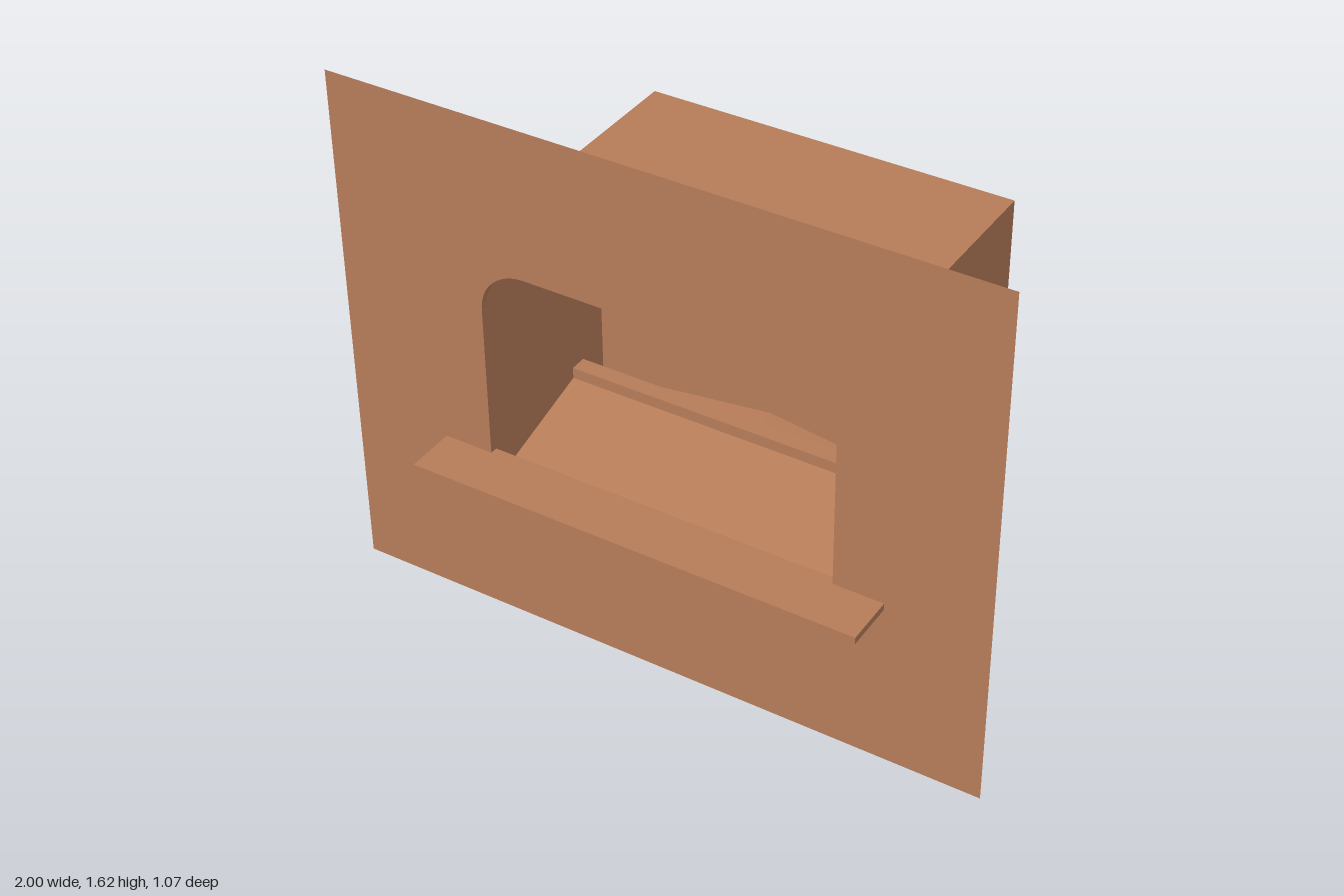
import * as THREE from 'three';

const W = 0.57;           // half width of the cabinet
const TOP = 1.23;         // cabinet roof
const FRONT = 0.357;      // cabinet front
const PANEL = 0.38;       // face panel
const BACK = -0.533;      // cabinet back
const HOLE = 0.46;        // x where the drop holes begin

// Each trough: front z, back z, lowest y, top of the ridge before it
const troughs = [
  { z0: -0.123, z1: -0.225, y: 0.41, ridge: 0.54 },
  { z0: -0.28, z1: -0.379, y: 0.565, ridge: 0.695 },
  { z0: -0.433, z1: BACK, y: 0.72, ridge: 0.85 },
];

const shapeOf = (pts) => new THREE.Shape(pts.map(([x, y]) => new THREE.Vector2(x, y)));

// Arched opening: square at the sill, rounded at the top
function opening(path) {
  const x = 0.54, y0 = 0.54, y1 = 1.16, r = 0.14;
  path.moveTo(-x, y0);
  path.lineTo(x, y0);
  path.lineTo(x, y1 - r);
  path.absarc(x - r, y1 - r, r, 0, Math.PI / 2, false);
  path.lineTo(-x + r, y1);
  path.absarc(-x + r, y1 - r, r, Math.PI / 2, Math.PI, false);
  path.lineTo(-x, y0);
  return path;
}

export function createModel() {
  const group = new THREE.Group();
  const clay = new THREE.MeshStandardMaterial({ color: 0xb67b58, side: THREE.DoubleSide });
  clay.name = 'clay brown';

  const add = (name, geometry, z = 0) => {
    const mesh = new THREE.Mesh(geometry, clay);
    mesh.name = name;
    mesh.position.z = z;
    group.add(mesh);
    return mesh;
  };

  // Flat four-cornered sheet
  const quad = (name, a, b, c, d) => {
    const g = new THREE.BufferGeometry();
    g.setAttribute('position', new THREE.Float32BufferAttribute([a, b, c, a, c, d].flat(), 3));
    g.computeVertexNormals();
    return add(name, g);
  };
  // Sheet across the full width between two (z, y) points
  const across = (name, [z0, y0], [z1, y1]) =>
    quad(name, [-W, y0, z0], [W, y0, z0], [W, y1, z1], [-W, y1, z1]);

  // Face panel and cabinet front, both pierced by the opening
  const pierced = (x, y0, y1) => {
    const s = shapeOf([[-x, y0], [x, y0], [x, y1], [-x, y1]]);
    s.holes.push(opening(new THREE.Path()));
    return new THREE.ShapeGeometry(s, 10);
  };
  add('facePanel', pierced(1, 0, 1.615), PANEL);
  add('cabinetFront', pierced(W, 0.382, TOP), FRONT);

  // Lining of the opening
  const rim = opening(new THREE.Path()).getPoints(10);
  for (let i = 0; i < rim.length - 1; i++) {
    const p = rim[i], q = rim[i + 1];
    if (p.distanceTo(q) < 1e-5) continue;
    quad('openingLining', [p.x, p.y, PANEL], [q.x, q.y, PANEL], [q.x, q.y, FRONT], [p.x, p.y, FRONT]);
  }

  // Counter shelf
  const shelf = add('shelf', new THREE.BoxGeometry(1.384, 0.021, 0.154), PANEL + 0.077);
  shelf.position.y = 0.53;

  // Side walls with the stepped lower edge, drawn as (-z, y)
  const edge = [[-FRONT, 0.382], [0.07, 0.505]];
  let z = -0.07;
  for (const t of troughs) {
    edge.push([-z, t.ridge], [-t.z0, t.ridge], [-t.z0, t.y], [-t.z1, t.y]);
    z = t.z1;
  }
  edge.push([-BACK, TOP], [-FRONT, TOP]);
  for (const side of [-1, 1]) {
    const wall = add('sideWall', new THREE.ShapeGeometry(shapeOf(edge)));
    wall.rotation.y = Math.PI / 2;
    wall.position.x = side * W;
  }

  // Roof, sloping floor and the kerb where the floor ends
  across('roof', [FRONT, TOP], [BACK, TOP]);
  across('slopingFloor', [FRONT, 0.382], [-0.07, 0.505]);
  across('kerb', [-0.07, 0.505], [-0.07, 0.54]);

  // Troughs: peaked floor draining to an open drop hole at each end
  let ridgeFront = -0.07;
  troughs.forEach((t, i) => {
    const low = t.y + 0.03, peak = t.y + 0.088;
    const wall = (top) => new THREE.ShapeGeometry(shapeOf([
      [-W, t.y], [-HOLE, t.y], [-HOLE, low], [0, peak], [HOLE, low],
      [HOLE, t.y], [W, t.y], [W, top], [-W, top],
    ]));
    across('ridgeTop', [ridgeFront, t.ridge], [t.z0, t.ridge]);
    add('troughFrontWall', wall(t.ridge), t.z0);
    add(i === 2 ? 'backWall' : 'troughBackWall', wall(i === 2 ? TOP : troughs[i + 1].ridge), t.z1);
    for (const s of [-1, 1]) {
      const x = s * HOLE;
      quad('troughFloor', [0, peak, t.z0], [x, low, t.z0], [x, low, t.z1], [0, peak, t.z1]);
      quad('dropHoleCollar', [x, low, t.z0], [x, t.y, t.z0], [x, t.y, t.z1], [x, low, t.z1]);
    }
    ridgeFront = t.z1;
  });

  return group;
}
